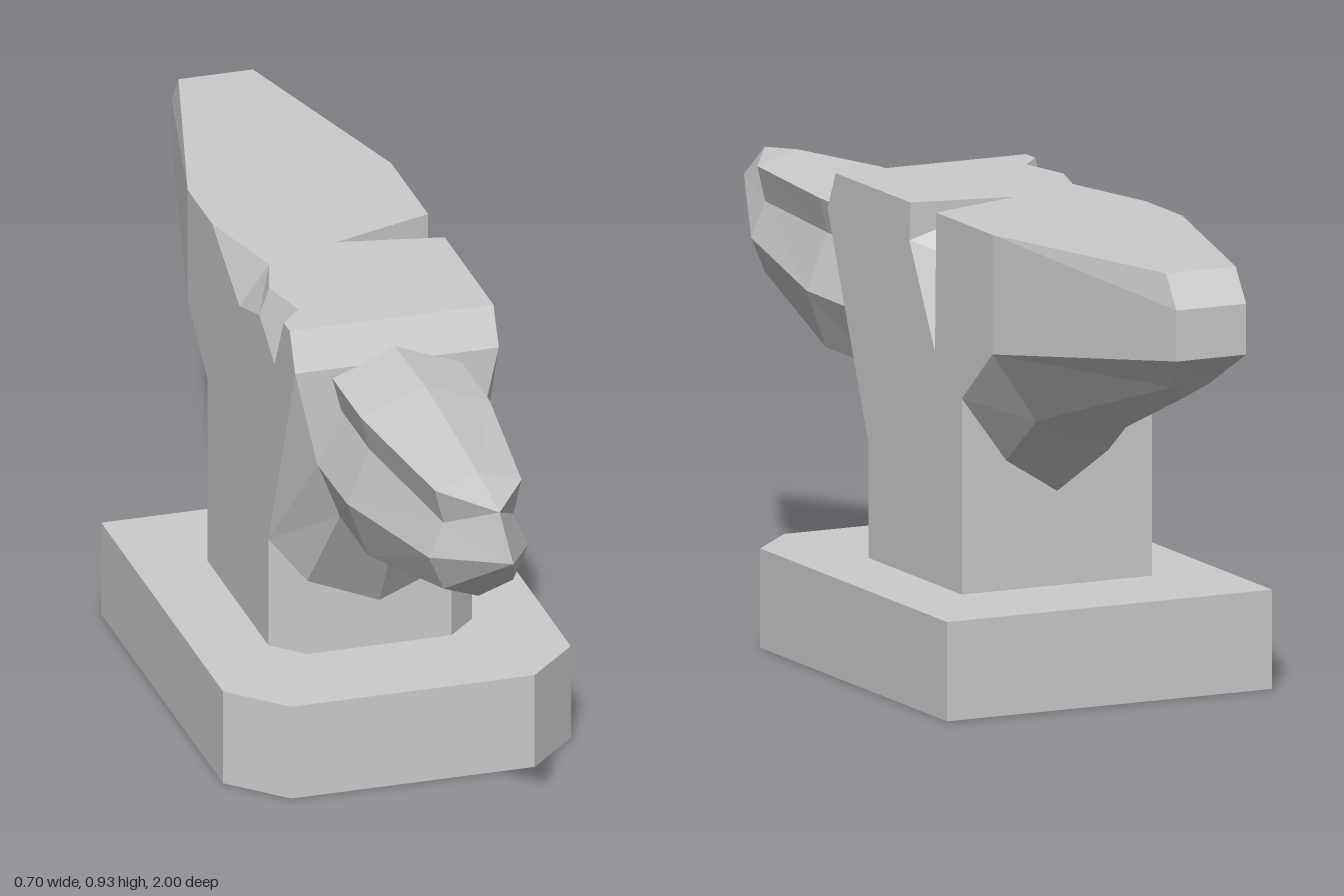
import * as THREE from 'three';

const material = new THREE.MeshStandardMaterial({ color: 0xcccccc, flatShading: true, side: THREE.DoubleSide });
const V = (x, y, z) => new THREE.Vector3(x, y, z);
const flip = (p) => V(-p.x, p.y, p.z);

// Collects flat polygons; each is turned to face away from (or, with sign -1, towards) a reference point
function faceSet(name, build) {
  const pos = [];
  const face = (pts, ref, sign = 1) => {
    const n = V(0, 0, 0), c = V(0, 0, 0);
    pts.forEach((p, i) => {
      n.add(p.clone().cross(pts[(i + 1) % pts.length]));
      c.addScaledVector(p, 1 / pts.length);
    });
    if (n.dot(c.sub(ref)) * sign < 0) n.negate();
    const a = [Math.abs(n.x), Math.abs(n.y), Math.abs(n.z)];
    const axis = a.indexOf(Math.max(...a));
    const flat = pts.map((p) => axis === 0 ? new THREE.Vector2(p.y, p.z)
      : axis === 1 ? new THREE.Vector2(p.x, p.z) : new THREE.Vector2(p.x, p.y));
    for (const t of THREE.ShapeUtils.triangulateShape(flat, [])) {
      const [p, q, r] = t.map((i) => pts[i]);
      const m = q.clone().sub(p).cross(r.clone().sub(p));
      if (m.length() < 1e-8) continue;
      for (const v of m.dot(n) < 0 ? [p, r, q] : [p, q, r]) pos.push(v.x, v.y, v.z);
    }
  };
  // Same polygon on both sides of the model
  const pair = (pts, ref) => { face(pts, ref); face(pts.map(flip), flip(ref)); };
  // Polygon that crosses the centre line, given by its +x half from top to bottom
  const across = (half, ref) => face([...half, ...half.filter((p) => p.x > 0).reverse().map(flip)], ref);
  build(face, pair, across);
  const geo = new THREE.BufferGeometry();
  geo.setAttribute('position', new THREE.Float32BufferAttribute(pos, 3));
  geo.computeVertexNormals();
  const mesh = new THREE.Mesh(geo, material);
  mesh.name = name;
  return mesh;
}

const W = 0.205, TOP = 0.925, FOOT = 0.195;

// Open-bottomed plinth with cut front corners and an opening under the column
function createBase() {
  const group = new THREE.Group();
  group.name = 'base';
  const outline = [[-0.35, -0.565], [0.35, -0.565], [0.35, 0.235], [0.245, 0.34], [-0.245, 0.34], [-0.35, 0.235]];
  const opening = [[-W, -0.34], [W, -0.34], [W, 0.06], [0.145, 0.12], [-0.145, 0.12], [-W, 0.06]];
  const to2D = (list) => list.map(([x, z]) => new THREE.Vector2(x, -z));
  const shape = new THREE.Shape(to2D(outline));
  shape.holes.push(new THREE.Path(to2D(opening)));
  const top = new THREE.Mesh(new THREE.ShapeGeometry(shape).rotateX(-Math.PI / 2).translate(0, FOOT, 0), material);
  top.name = 'baseTop';
  const walls = faceSet('baseWalls', (face) => outline.forEach(([x, z], i) => {
    const [x2, z2] = outline[(i + 1) % outline.length];
    face([V(x, 0, z), V(x2, 0, z2), V(x2, FOOT, z2), V(x, FOOT, z)], V(0, 0.1, -0.1));
  }));
  group.add(top, walls);
  return group;
}

// Column, face plate and the battered top edges
const createBody = () => faceSet('body', (face, pair, across) => {
  const inside = V(0, 0.6, -0.1);
  // Deep crack in the left edge
  const tip = V(0, TOP, -0.16), c1 = V(W, TOP, -0.23), c2 = V(W, TOP, -0.12);
  const c3 = V(W, 0.85, -0.115), c4 = V(W, 0.65, -0.225), c5 = V(0.16, 0.83, -0.18);
  const hollow = V(0.2, 0.89, -0.17);
  for (const f of [[tip, c2, c3], [tip, c1, c4], [tip, c3, c5], [c5, c3, c4], [tip, c5, c4]]) face(f, hollow, -1);

  // Chips along the right edge: upper and lower borders, back to front
  const chipTop = [[-W, -0.31], [-0.155, -0.1], [-0.185, 0], [-0.16, 0.11], [-W, 0.16]].map(([x, z]) => V(x, TOP, z));
  const chipLow = [[TOP, -0.31], [0.83, -0.13], [0.87, 0], [0.81, 0.1], [TOP, 0.16]].map(([y, z]) => V(-W, y, z));
  for (let i = 0; i < 4; i++) {
    face([chipTop[i], chipTop[i + 1], chipLow[i + 1]], inside);
    face([chipTop[i], chipLow[i + 1], chipLow[i]], inside);
  }

  // Working surface
  face([V(W, TOP, 0.2), c2, tip, c1, V(W, TOP, -0.47), V(0.075, TOP, -0.955),
    V(-0.075, TOP, -0.955), V(-W, TOP, -0.47), ...chipTop, V(-W, TOP, 0.2)], inside);

  // Side walls
  const side = [[-0.47, TOP], [-0.47, 0.69], [-0.34, 0.58], [-0.34, FOOT], [0.06, FOOT], [0.06, 0.42], [0.235, 0.85], [0.2, TOP]]
    .map(([z, y]) => V(W, y, z));
  face([...side, c2, c3, c4, c1], inside);
  face([...side.map(flip), ...chipLow.slice().reverse()], inside);

  // Front: bevel, throat under the horn and cut column corners
  const brow = V(W, 0.85, 0.235), cheek = V(0.16, 0.65, 0.235), jaw = V(0.115, 0.535, 0.235), chin = V(0, 0.49, 0.235);
  const hip = V(W, 0.42, 0.06), knee = V(0.145, 0.35, 0.12), mid = V(0, 0.29, 0.12);
  across([V(W, TOP, 0.2), brow], inside);
  across([brow, cheek, jaw, chin], inside);
  pair([hip, brow, cheek], inside);
  pair([hip, cheek, jaw], inside);
  pair([hip, jaw, knee], inside);
  pair([knee, jaw, chin], inside);
  pair([knee, chin, mid], inside);
  pair([hip, knee, V(0.145, FOOT, 0.12), V(W, FOOT, 0.06)], inside);
  face([knee, V(0.145, FOOT, 0.12), V(-0.145, FOOT, 0.12), flip(knee), mid], inside);

  // Back of the column
  face([V(W, FOOT, -0.34), V(W, 0.58, -0.34), V(0.11, 0.45, -0.34), V(0, 0.38, -0.34),
    V(-0.11, 0.45, -0.34), V(-W, 0.58, -0.34), V(-W, FOOT, -0.34)], inside);
});

// Tapered heel at the back
const createHeel = () => faceSet('heel', (face, pair, across) => {
  const inside = V(0, 0.8, -0.6);
  const rows = [
    [V(W, 0.58, -0.34), V(0.11, 0.45, -0.34), V(0, 0.38, -0.34)],
    [V(W, 0.69, -0.47), V(0.11, 0.55, -0.47), V(0, 0.49, -0.47)],
    [V(0.075, 0.76, -1), V(0.04, 0.69, -0.91), V(0, 0.66, -0.88)],
  ];
  for (let r = 0; r < 2; r++) for (let i = 0; i < 2; i++) {
    const [a, b, c, d] = [rows[r][i], rows[r][i + 1], rows[r + 1][i + 1], rows[r + 1][i]];
    pair([a, b, c], inside);
    pair([a, c, d], inside);
  }
  const shoulder = V(W, TOP, -0.47), edge = V(0.075, TOP, -0.955), end = V(0.075, 0.86, -1), low = rows[2][0];
  pair([shoulder, edge, end], inside);
  pair([shoulder, end, low], inside);
  pair([shoulder, low, rows[1][0]], inside);
  across([edge, end], inside);
  across([end, low], inside);
  across(rows[2], inside);
});

// Faceted horn: half sections from the top ridge to the keel, mirrored
const createHorn = () => faceSet('horn', (face, pair) => {
  const root = [[0, 0.875], [0.13, 0.83], [0.112, 0.76], [0.16, 0.65], [0.115, 0.535], [0, 0.49]];
  const belly = [[0, 0.88], [0.13, 0.83], [0.112, 0.76], [0.157, 0.65], [0.115, 0.535], [0, 0.49]];
  const neck = [[0, 0.85], [0.087, 0.825], [0.07, 0.755], [0.1, 0.685], [0.07, 0.615], [0, 0.59]];
  const at = (list, z) => list.map(([x, y]) => V(x, y, z));
  const peak = V(0, 0.83, 0.91), point = V(0, 0.76, 1);
  const rings = [at(root, 0.2), at(belly, 0.42), at(neck, 0.77), [peak, peak, point, point, point, point]];
  for (let r = 0; r < 3; r++) for (let i = 0; i < 5; i++) {
    const [a, b, c, d] = [rings[r][i], rings[r][i + 1], rings[r + 1][i + 1], rings[r + 1][i]];
    const axis = V(0, 0.72, a.z);
    pair([a, b, d], axis);
    pair([b, c, d], axis);
  }
});

export function createModel() {
  const model = new THREE.Group();
  model.name = 'anvil';
  model.add(createBase(), createBody(), createHeel(), createHorn());
  return model;
}
